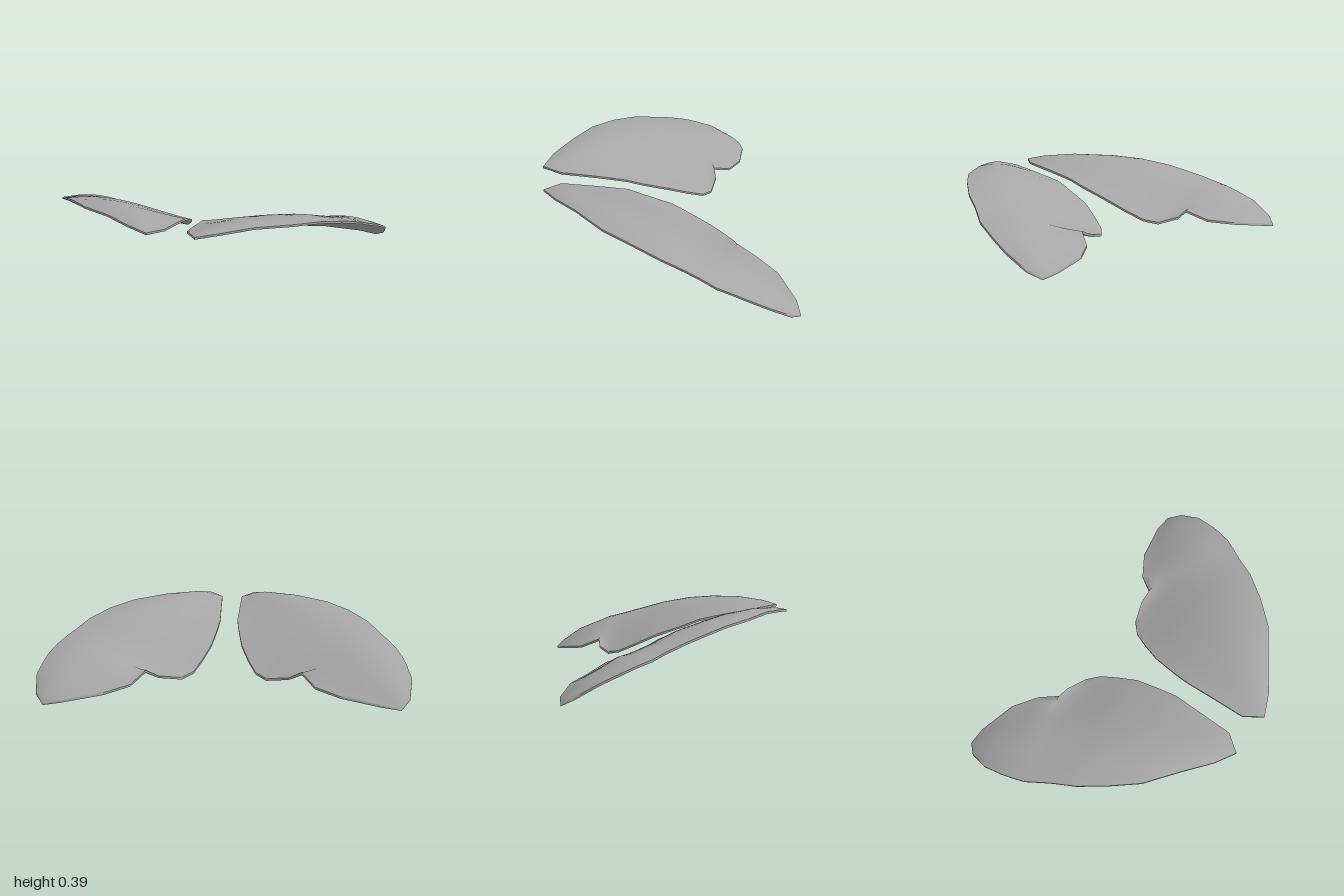
import * as THREE from 'three';
import { toCreasedNormals } from 'three/addons/utils/BufferGeometryUtils.js';

// Ribs from front tip to rear tip: inner edge x,y,z | outer edge x,y,z | crown height
const RIBS = [
  [0.13, 0.355, 0.64, 0.13, 0.355, 0.64, 0],
  [0.06, 0.348, 0.54, 0.25, 0.367, 0.58, 0.012],
  [0.055, 0.315, 0.34, 0.40, 0.374, 0.47, 0.028],
  [0.05, 0.283, 0.17, 0.58, 0.362, 0.34, 0.035],
  [0.06, 0.248, 0.08, 0.70, 0.342, 0.20, 0.04],
  [0.085, 0.192, -0.08, 0.80, 0.307, 0.06, 0.045],
  [0.125, 0.138, -0.19, 0.83, 0.289, 0, 0.048],
  [0.17, 0.09, -0.29, 0.86, 0.269, -0.06, 0.05],
  [0.23, 0.072, -0.35, 0.90, 0.245, -0.13, 0.053],
  [0.35, 0.092, -0.395, 0.94, 0.216, -0.20, 0.049],
  [0.42, 0.122, -0.395, 0.965, 0.19, -0.28, 0.044],
  [0.49, 0.072, -0.50, 0.98, 0.166, -0.34, 0.041],
  [0.62, 0.05, -0.59, 1.0, 0.115, -0.46, 0.033],
  [0.83, 0.022, -0.645, 0.98, 0.045, -0.58, 0.012],
  [0.93, 0.007, -0.645, 0.93, 0.007, -0.645, 0],
];
const COLS = 16;
const HALF_THICKNESS = 0.006;

// Thin closed shell lofted across the ribs; side is +1 (left) or -1 (right)
function wingGeometry(side) {
  const positions = [], index = [];
  const row = COLS + 1, sheet = row * RIBS.length;

  // Upper sheet, then lower sheet
  for (const offset of [HALF_THICKNESS, -HALF_THICKNESS]) {
    for (const [ax, ay, az, bx, by, bz, crown] of RIBS) {
      for (let j = 0; j <= COLS; j++) {
        const t = j / COLS;
        const lift = crown * Math.sin(Math.PI * Math.pow(t, 1.4));
        positions.push(
          side * THREE.MathUtils.lerp(ax, bx, t),
          THREE.MathUtils.lerp(ay, by, t) + lift + offset,
          THREE.MathUtils.lerp(az, bz, t));
      }
    }
  }

  const tri = (a, b, c) => (side > 0 ? index.push(a, b, c) : index.push(a, c, b));
  const quad = (a, b, c, d) => { tri(a, b, c); tri(a, c, d); };
  for (let i = 0; i < RIBS.length - 1; i++) {
    for (let j = 0; j < COLS; j++) {
      const a = i * row + j, b = a + row;
      quad(a, a + 1, b + 1, b);
      quad(a + sheet, b + sheet, b + 1 + sheet, a + 1 + sheet);
    }
    // Rim along the inner and outer edges
    const inner = i * row, outer = inner + COLS;
    quad(inner, inner + row, inner + row + sheet, inner + sheet);
    quad(outer, outer + sheet, outer + row + sheet, outer + row);
  }

  const geometry = new THREE.BufferGeometry();
  geometry.setAttribute('position', new THREE.Float32BufferAttribute(positions, 3));
  geometry.setIndex(index);
  return toCreasedNormals(geometry, 1.1);
}

export function createModel() {
  const group = new THREE.Group();
  const material = new THREE.MeshStandardMaterial({ color: 0xa6a6a6, side: THREE.DoubleSide });
  for (const [name, side] of [['leftWing', 1], ['rightWing', -1]]) {
    const wing = new THREE.Mesh(wingGeometry(side), material);
    wing.name = name;
    group.add(wing);
  }
  return group;
}
